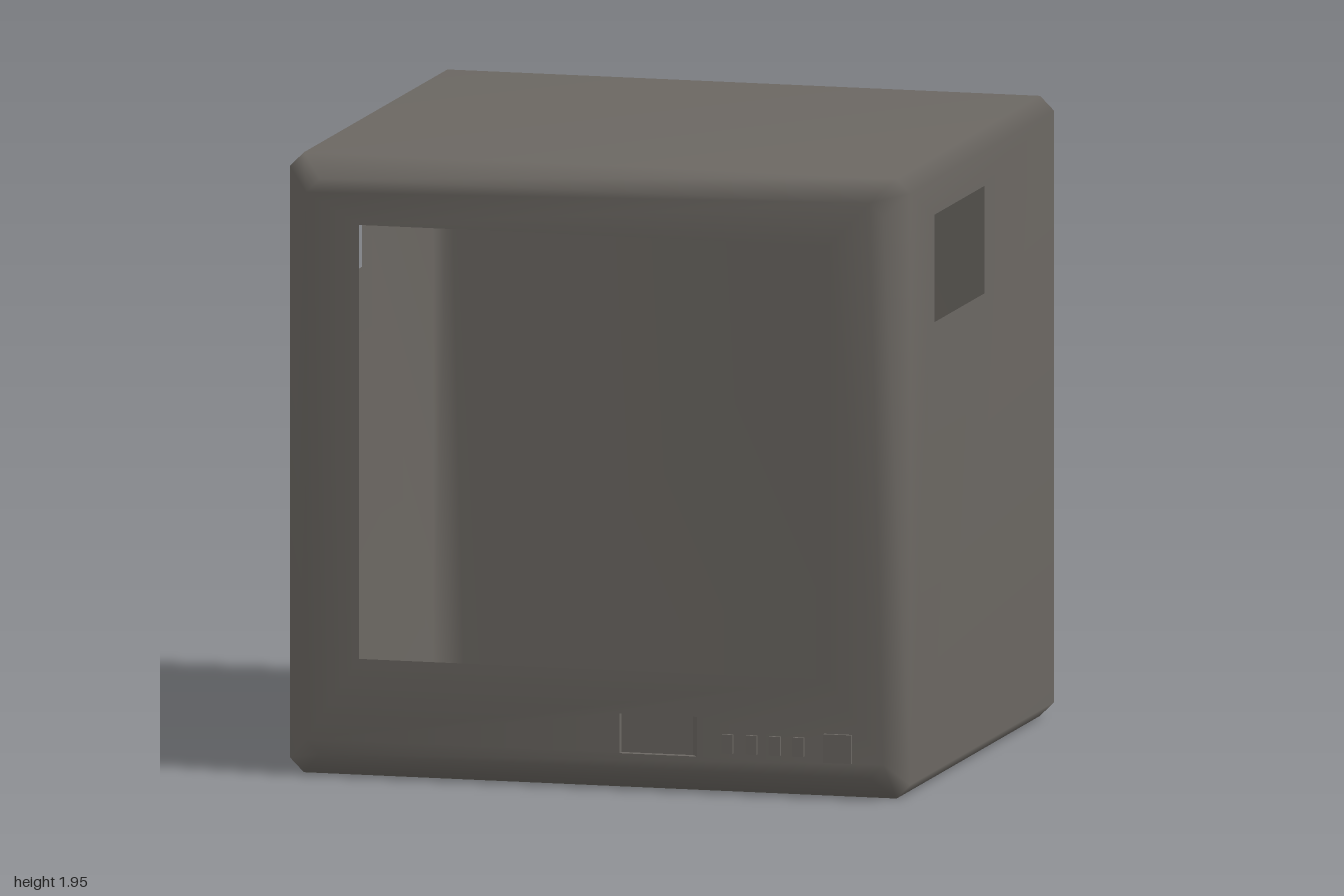
import * as THREE from 'three';
import { mergeGeometries, mergeVertices } from 'three/addons/utils/BufferGeometryUtils.js';

const H = 1.95, BACK = -0.89, FRONT = 0.88, CUT = 0.045;

// eight corners of a cut-cornered rectangle, counter-clockwise from the front
function octagon(inset) {
  const x = 1 - inset, b = inset, t = H - inset, c = CUT;
  return [[x, b + c], [x, t - c], [x - c, t], [-x + c, t], [-x, t - c], [-x, b + c], [-x + c, b], [x - c, b]];
}

// surface from quads, each given as four corners
function quads(list) {
  const pos = [], index = [];
  list.forEach((q, i) => {
    q.forEach((p) => pos.push(...p));
    const k = i * 4;
    index.push(k, k + 1, k + 2, k, k + 2, k + 3);
  });
  const g = new THREE.BufferGeometry();
  g.setAttribute('position', new THREE.Float32BufferAttribute(pos, 3));
  g.setIndex(index);
  return g;
}

const rect = ([u0, u1, v0, v1]) => [[u0, v0], [u1, v0], [u1, v1], [u0, v1]].map(([u, v]) => new THREE.Vector2(u, v));

// flat panel with rectangular openings, drawn in the xy plane
function panel(outline, holes) {
  const shape = new THREE.Shape(outline);
  holes.forEach((h) => shape.holes.push(new THREE.Path(rect(h))));
  const g = new THREE.ShapeGeometry(shape);
  g.deleteAttribute('uv');
  g.deleteAttribute('normal');
  return g;
}

export function createModel() {
  const group = new THREE.Group();
  const grey = new THREE.MeshStandardMaterial({ color: 0x6b6762, side: THREE.DoubleSide });
  grey.name = 'warm grey';
  const add = (name, geometry, x = 0, y = 0, z = 0) => {
    const mesh = new THREE.Mesh(geometry, grey);
    mesh.name = name;
    mesh.position.set(x, y, z);
    group.add(mesh);
    return mesh;
  };

  const screen = [-0.76, 0.755, 0.375, 1.74];
  const display = [0.08, 0.33, 0.115, 0.24];
  const notch = [0.32, 0.87, 0.05, 0.395];

  // casing: rings of cut-cornered rectangles from back to front
  const zs = [BACK, -0.85, 0.815, FRONT];
  const rings = [0.042, 0, 0, 0.07].map((inset, i) => octagon(inset).map(([x, y]) => [x, y, zs[i]]));
  const strips = [];
  for (let r = 0; r < 3; r++) {
    for (let i = 0; i < 8; i++) {
      if (r === 1 && (i === 0 || i === 4)) continue; // side walls have openings
      const j = (i + 1) % 8;
      strips.push([rings[r][i], rings[r][j], rings[r + 1][j], rings[r + 1][i]]);
    }
  }

  const outline = (inset) => octagon(inset).map(([x, y]) => new THREE.Vector2(x, y));
  const frontFace = panel(outline(0.07), [screen, display]).translate(0, 0, FRONT);
  // back is drawn mirrored, then turned to face -z
  const backFace = panel(outline(0.042), [[-notch[1], -notch[0], notch[2], notch[3]]])
    .rotateY(Math.PI).translate(0, 0, BACK);

  // side walls with a rectangular opening each
  const wall = [CUT, H - CUT];
  const right = panel(rect([-0.815, 0.85, ...wall]), [[-0.54, 0.04, 1.457, 1.795]])
    .rotateY(Math.PI / 2).translate(1, 0, 0);
  const left = panel(rect([-0.85, 0.815, ...wall]), [[-0.02, 0.575, 1.457, 1.795]])
    .rotateY(-Math.PI / 2).translate(-1, 0, 0);

  const casing = mergeVertices(mergeGeometries([quads(strips), frontFace, backFace, right, left]), 1e-4);
  casing.computeVertexNormals();
  add('casing', casing);

  // socket recess at the lower back: ceiling, sides and sloping floor
  const [nx0, nx1, ny0, ny1] = notch, nz = -0.8, floorY = 0.085;
  const recess = quads([
    [[nx0, ny1, BACK], [nx1, ny1, BACK], [nx1, ny1, nz], [nx0, ny1, nz]],
    [[nx0, ny0, BACK], [nx0, floorY, nz], [nx1, floorY, nz], [nx1, ny0, BACK]],
    [[nx0, ny0, BACK], [nx0, ny1, BACK], [nx0, ny1, nz], [nx0, floorY, nz]],
    [[nx1, ny0, BACK], [nx1, floorY, nz], [nx1, ny1, nz], [nx1, ny1, BACK]],
  ]);
  recess.computeVertexNormals();
  add('socketRecess', recess);

  const socketPanel = panel(rect([-nx1, -nx0, floorY, ny1]), [[-0.765, -0.715, 0.125, 0.225]])
    .rotateY(Math.PI).translate(0, 0, nz);
  socketPanel.computeVertexNormals();
  add('socketPanel', socketPanel);

  // two rows of three round sockets
  for (let i = 0; i < 6; i++) {
    const socket = add('socket', new THREE.CylinderGeometry(0.025, 0.025, 0.025, 16),
      0.525 + (i % 3 - 1) * 0.065, i < 3 ? 0.13 : 0.19, nz - 0.01);
    socket.rotation.x = Math.PI / 2;
  }

  // small display: shallow recess with a pane at its back
  const [dx0, dx1, dy0, dy1] = display, dz = FRONT - 0.025, px = dx1 - 0.02;
  const pane = quads([
    [[dx0, dy0, dz], [px, dy0, dz], [px, dy1, dz], [dx0, dy1, dz]],
    [[px, dy0, dz], [dx1, dy0, FRONT], [dx1, dy1, FRONT], [px, dy1, dz]],
    [[dx0, dy0, FRONT], [dx0, dy0, dz], [dx0, dy1, dz], [dx0, dy1, FRONT]],
    [[dx0, dy0, FRONT], [dx1, dy0, FRONT], [px, dy0, dz], [dx0, dy0, dz]],
    [[dx0, dy1, dz], [px, dy1, dz], [dx1, dy1, FRONT], [dx0, dy1, FRONT]],
  ]);
  pane.computeVertexNormals();
  add('display', pane);

  // control buttons
  for (const x of [0.43, 0.507, 0.582, 0.658]) {
    add('button', new THREE.BoxGeometry(0.036, 0.06, 0.03), x, 0.16, 0.877);
  }
  add('powerButton', new THREE.BoxGeometry(0.09, 0.09, 0.03), 0.785, 0.16, 0.877);

  return group;
}
